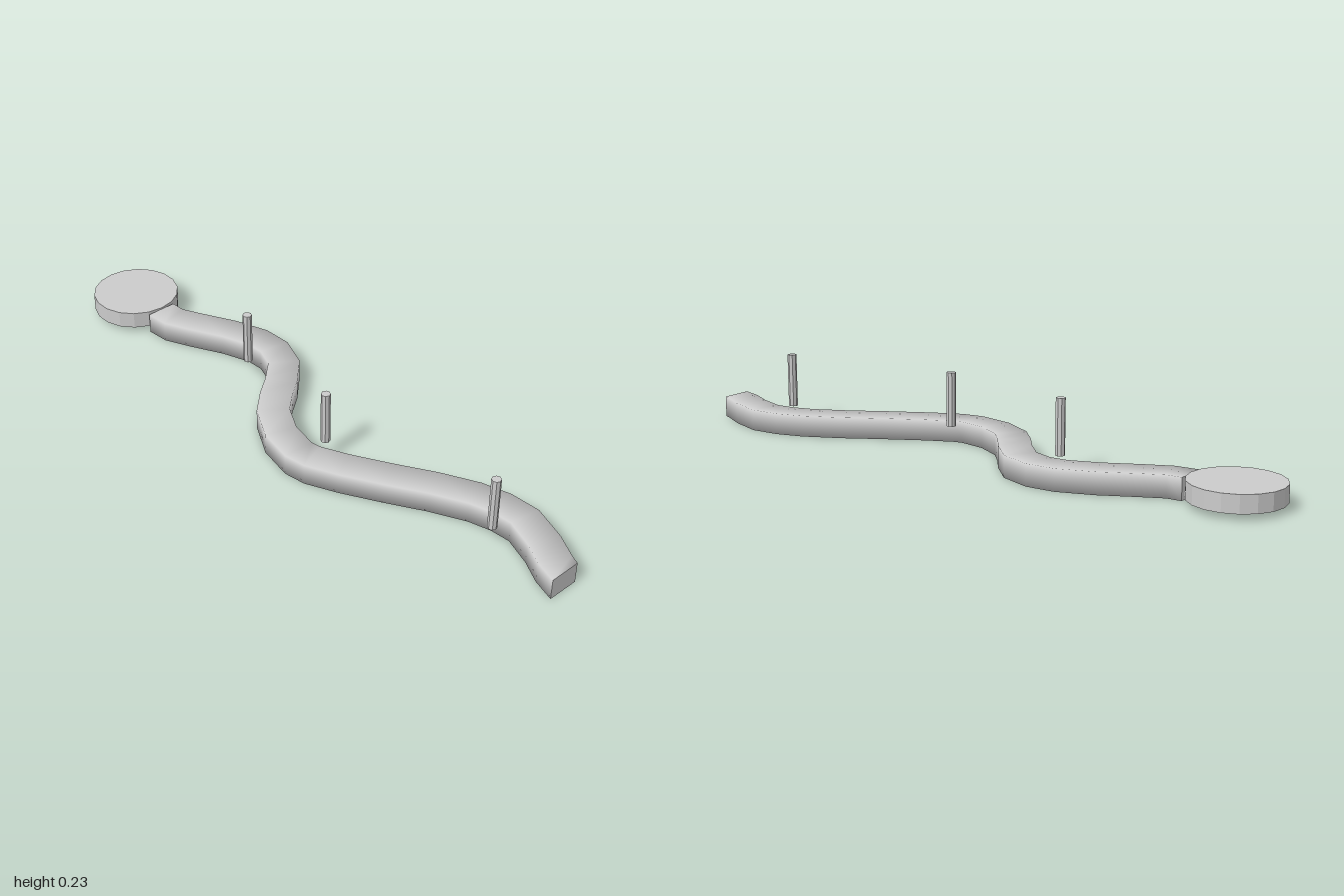
import * as THREE from 'three';

const grey = new THREE.MeshStandardMaterial({ color: 0xcccccc });
const flatGrey = new THREE.MeshStandardMaterial({ color: 0xcccccc, flatShading: true });

// Winding bar: a rectangular section swept along [x, z] stations, smooth along its length
function windingBar(path, width, height) {
  const pos = [], idx = [], n = path.length, h = width / 2;
  path.forEach(([x, z], i) => {
    // Both ends are cut square to the x axis
    const a = path[Math.max(i - 1, 0)], b = path[Math.min(i + 1, n - 1)];
    const end = i === 0 || i === n - 1;
    const t = end ? new THREE.Vector2(1, 0) : new THREE.Vector2(b[0] - a[0], b[1] - a[1]).normalize();
    const nx = -t.y * h, nz = t.x * h;
    pos.push(x + nx, 0, z + nz, x + nx, height, z + nz, x - nx, height, z - nz, x - nx, 0, z - nz);
  });
  for (let i = 0; i < n - 1; i++) {
    for (let k = 0; k < 4; k++) {
      const a = i * 4 + k, b = i * 4 + (k + 1) % 4;
      idx.push(a, a + 4, b, b, a + 4, b + 4);
    }
  }
  // End caps get their own corners so they stay flat
  for (const [ring, order] of [[0, [0, 1, 2, 0, 2, 3]], [n - 1, [0, 2, 1, 0, 3, 2]]]) {
    const base = pos.length / 3;
    pos.push(...pos.slice(ring * 12, ring * 12 + 12));
    order.forEach((k) => idx.push(base + k));
  }
  const geo = new THREE.BufferGeometry();
  geo.setAttribute('position', new THREE.Float32BufferAttribute(pos, 3));
  geo.setIndex(idx);
  geo.computeVertexNormals();
  return geo;
}

export function createModel() {
  const model = new THREE.Group();
  model.name = 'windingTrack';
  const add = (name, geo, mat) => {
    const mesh = new THREE.Mesh(geo, mat);
    mesh.name = name;
    model.add(mesh);
    return mesh;
  };

  // S-shaped bar
  const path = [
    [-0.72, -0.013], [-0.66, -0.017], [-0.59, -0.05], [-0.48, -0.107], [-0.38, -0.143],
    [-0.305, -0.146], [-0.222, -0.115], [-0.155, -0.045], [-0.11, 0.015], [-0.055, 0.075],
    [0.04, 0.127], [0.14, 0.146], [0.19, 0.138], [0.28, 0.096], [0.4, 0.029],
    [0.51, -0.037], [0.62, -0.092], [0.7, -0.115], [0.78, -0.12], [0.88, -0.085],
    [0.95, -0.048], [1, -0.031],
  ];
  add('windingBar', windingBar(path, 0.1, 0.067), grey);

  // Round plate at the start of the bar
  const disc = add('endDisc', new THREE.CylinderGeometry(0.14, 0.14, 0.054, 18), flatGrey);
  disc.rotation.y = Math.PI / 2;
  disc.position.set(-0.86, 0.045, -0.014);

  // Upright pins in the inside of each bend
  [[-0.312, -0.044], [0.155, 0.054], [0.745, -0.025]].forEach(([x, z], i) => {
    const pin = add('pin' + (i + 1), new THREE.CylinderGeometry(0.0145, 0.0145, 0.17, 8), flatGrey);
    pin.position.set(x, 0.146, z);
  });

  return model;
}
